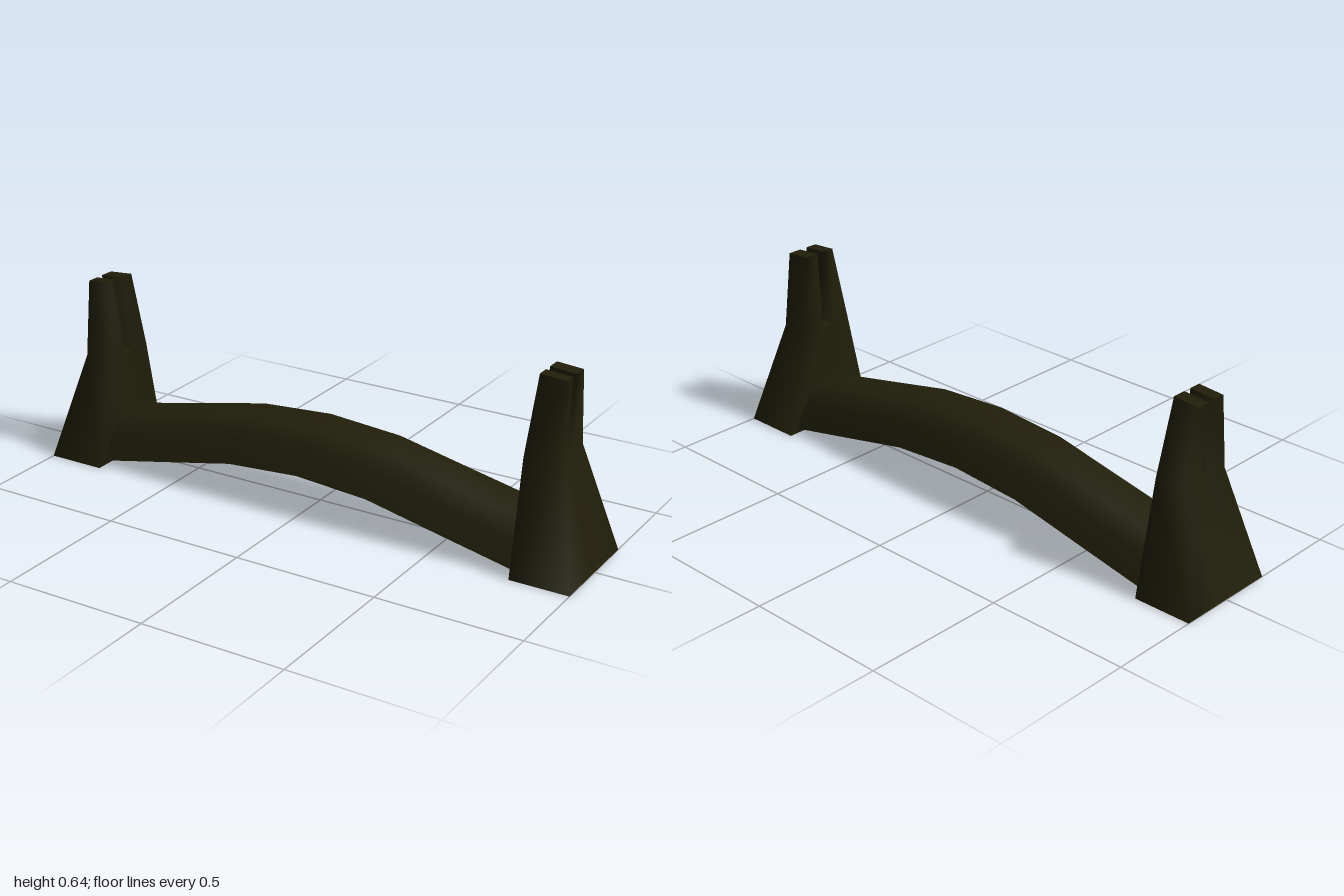
import * as THREE from 'three';

const olive = new THREE.MeshStandardMaterial({ color: 0x211f0a, side: THREE.DoubleSide });
olive.name = 'darkOlive';

// Mesh with smooth sides and flat, hard-edged caps; flip reverses mirrored faces
function quadMesh(name, points, sides, caps, flip = false) {
  const vertices = [...points];
  const flatCaps = caps.map((quad) => quad.map((i) => vertices.push(points[i]) - 1));
  const index = [...sides, ...flatCaps].flatMap(([a, b, c, d]) =>
    flip ? [a, c, b, a, d, c] : [a, b, c, a, c, d]);
  const geo = new THREE.BufferGeometry();
  geo.setAttribute('position', new THREE.Float32BufferAttribute(vertices.flat(), 3));
  geo.setIndex(index);
  geo.computeVertexNormals();
  const mesh = new THREE.Mesh(geo, olive);
  mesh.name = name;
  return mesh;
}

// Hollow tapered post, open underneath, that splits into two prongs above the middle row
function makePost(name, side) {
  const rows = [
    { inner: [0.795, 0], outer: [1.0, 0], z: [0.185, 0.04, -0.04, -0.185] },
    { inner: [0.787, 0.377], outer: [0.893, 0.377], z: [0.1, 0.022, -0.017, -0.1] },
    { inner: [0.81, 0.643], outer: [0.9, 0.636], z: [0.06, 0.018, -0.011, -0.06] },
  ];
  const points = [];
  for (const row of rows) {
    for (const z of row.z) {
      for (const [x, y] of [row.inner, row.outer]) points.push([side * x, y, z]);
    }
  }
  const id = (r, k, x) => r * 8 + k * 2 + x;
  const sides = [];
  const caps = [];
  const add = (list, quad, reverse) => list.push(reverse ? quad.reverse() : quad);

  // Outer and inner faces, skipping the slot in the upper row
  for (const [r, k] of [[0, 0], [0, 1], [0, 2], [1, 0], [1, 2]]) {
    for (const x of [0, 1]) {
      add(sides, [id(r, k, x), id(r, k + 1, x), id(r + 1, k + 1, x), id(r + 1, k, x)], x === 0);
    }
  }
  // Front and back faces, then the slot walls
  for (const [r, k] of [[0, 0], [1, 0], [0, 3], [1, 3], [1, 1], [1, 2]]) {
    add(sides, [id(r, k, 0), id(r, k, 1), id(r + 1, k, 1), id(r + 1, k, 0)], k % 2 === 1);
  }
  // Slot floor and prong tips
  for (const [r, k] of [[1, 1], [2, 0], [2, 2]]) {
    add(caps, [id(r, k, 0), id(r, k, 1), id(r, k + 1, 1), id(r, k + 1, 0)], false);
  }
  return quadMesh(name, points, sides, caps, side < 0);
}

// Arched crossbar with a rounded top and flat underside, its open ends meeting the posts
function makeCrossbar() {
  const half = [[0, 0.148], [0.265, 0.129], [0.53, 0.073], [0.794, 0.018]];
  const path = [...half.slice(1).reverse().map(([x, y]) => [-x, y]), ...half];
  const profile = [[-0.153, 0], [-0.113, 0.08], [-0.068, 0.142], [0.068, 0.142], [0.113, 0.08], [0.153, 0]];
  const n = profile.length;
  const points = path.flatMap(([x, y]) => profile.map(([z, h]) => [x, y + h, z]));
  const sides = [];
  const caps = [];
  for (let i = 0; i < path.length - 1; i++) {
    for (let j = 0; j < n; j++) {
      const a = i * n + j;
      const b = i * n + ((j + 1) % n);
      (j === n - 1 ? caps : sides).push([a, b, b + n, a + n]);
    }
  }
  return quadMesh('crossbar', points, sides, caps);
}

export function createModel() {
  const model = new THREE.Group();
  model.name = 'displayStand';
  model.add(makePost('leftPost', 1), makePost('rightPost', -1), makeCrossbar());
  return model;
}
